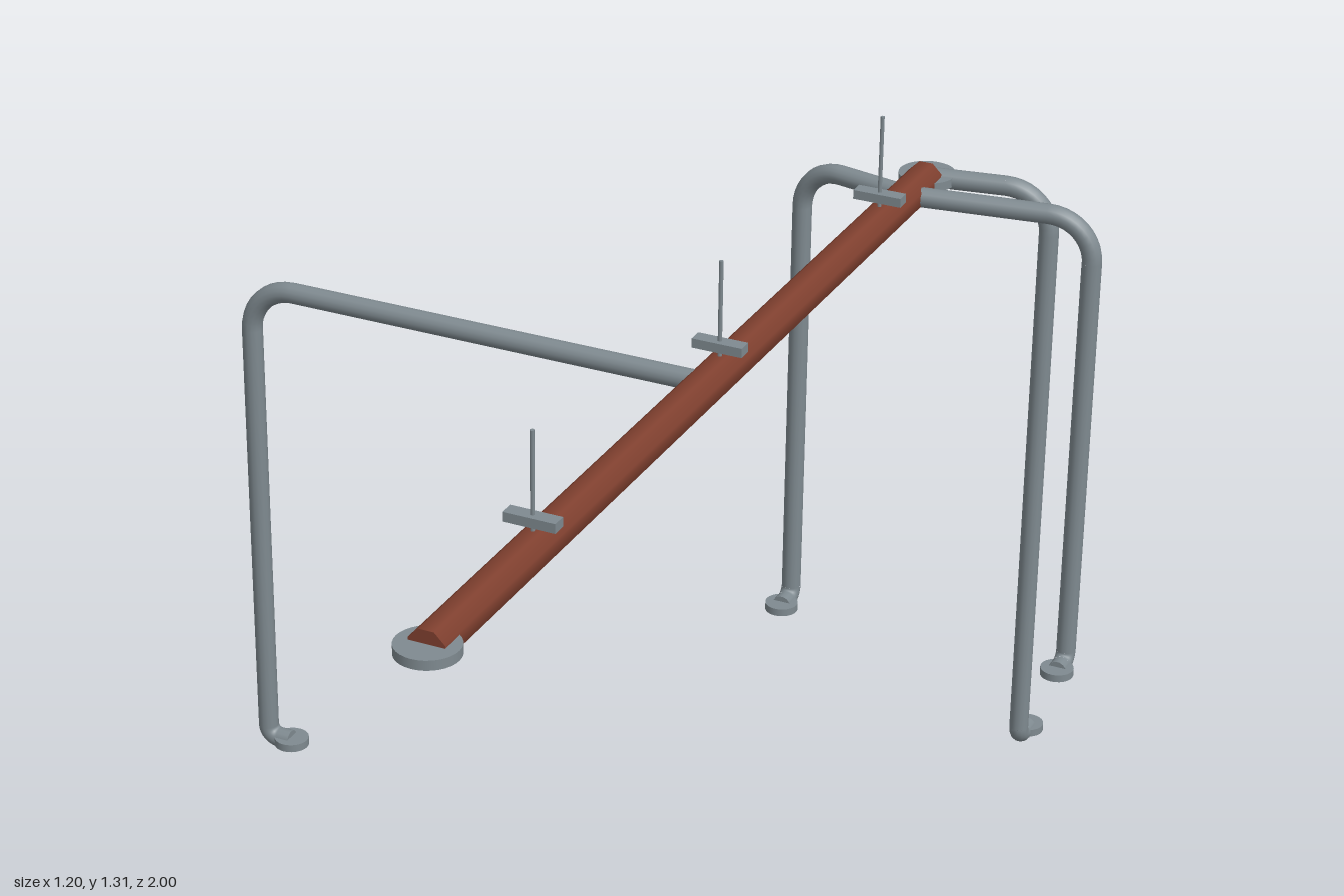
import * as THREE from 'three';
import { mergeGeometries } from 'three/addons/utils/BufferGeometryUtils.js';

const steel = new THREE.MeshStandardMaterial({ name: 'greySteel', color: 0x7f8a90 });
const red = new THREE.MeshStandardMaterial({ name: 'rustRed', color: 0x80402f });

const BEAM_X = 0.246, BEAM_Y = 1.117, PIPE_R = 0.0175;
const V = (x, y, z) => new THREE.Vector3(x, y, z);

// Pipe through corner points; each inner corner is rounded by its radius
function pipeGeometry(points, radii, r) {
  const parts = [];
  let from = points[0];
  for (let i = 1; i < points.length; i++) {
    const corner = points[i];
    if (i === points.length - 1) {
      parts.push(new THREE.TubeGeometry(new THREE.LineCurve3(from, corner), 1, r, 14));
      break;
    }
    const bend = radii[i - 1];
    const back = points[i - 1].clone().sub(corner).normalize();
    const ahead = points[i + 1].clone().sub(corner).normalize();
    const a = corner.clone().addScaledVector(back, bend);
    const b = corner.clone().addScaledVector(ahead, bend);
    const k = bend * 0.448;
    const arc = new THREE.CubicBezierCurve3(
      a, corner.clone().addScaledVector(back, k), corner.clone().addScaledVector(ahead, k), b);
    parts.push(new THREE.TubeGeometry(new THREE.LineCurve3(from, a), 1, r, 14));
    parts.push(new THREE.TubeGeometry(arc, 10, r, 14));
    from = b;
  }
  return mergeGeometries(parts);
}

function add(parent, name, geometry, material, x = 0, y = 0, z = 0) {
  const mesh = new THREE.Mesh(geometry, material);
  mesh.name = name;
  mesh.position.set(x, y, z);
  parent.add(mesh);
  return mesh;
}

// Bent support: arm from the beam, bend down, leg, elbow and round foot plate
function addSupport(parent, name, startZ, legX, legZ, footY, toeX, toeZ) {
  const group = new THREE.Group();
  group.name = name;
  const toe = V(legX + toeX, footY, legZ + toeZ);
  const points = [V(BEAM_X, BEAM_Y, startZ), V(legX, BEAM_Y, legZ), V(legX, footY, legZ), toe];
  add(group, 'bentPipe', pipeGeometry(points, [0.08, 0.022], PIPE_R), steel);
  // closed end of the pipe at the foot
  const cap = add(group, 'pipeEnd', new THREE.CircleGeometry(PIPE_R, 14), steel, toe.x, toe.y, toe.z);
  cap.rotation.y = Math.atan2(toeX, toeZ);
  add(group, 'footPlate', new THREE.CylinderGeometry(0.03, 0.03, 0.014, 24), steel, toe.x, toe.y, toe.z);
  parent.add(group);
}

export function createModel() {
  const model = new THREE.Group();
  model.name = 'pipeFrame';

  // Long octagonal main beam
  const beam = new THREE.CylinderGeometry(0.032, 0.032, 1.834, 8);
  beam.rotateY(Math.PI / 8);
  beam.rotateX(Math.PI / 2);
  add(model, 'mainBeam', beam, red, BEAM_X, BEAM_Y, 0.037);

  // Round flanges at both beam ends
  for (const [name, z] of [['frontFlange', 0.95], ['rearFlange', -0.888]]) {
    add(model, name, new THREE.CylinderGeometry(0.05, 0.05, 0.016, 32), steel, BEAM_X, BEAM_Y, z);
  }

  // Hanger plates with thin rods
  for (const z of [0.626, -0.022, -0.67]) {
    const hanger = new THREE.Group();
    hanger.name = 'hanger';
    hanger.position.set(BEAM_X, 0, z);
    add(hanger, 'hangerPlate', new THREE.BoxGeometry(0.086, 0.016, 0.025), steel, 0, 1.165, 0);
    add(hanger, 'hangerRod', new THREE.CylinderGeometry(0.0037, 0.0037, 0.165, 8), steel, 0, 1.2275, 0);
    model.add(hanger);
  }

  // Side support, two rear supports and the long rear leg
  addSupport(model, 'sideSupport', 0.02, -0.583, 0.02, 0.253, 0.045, 0);
  addSupport(model, 'rearRightSupport', -0.797, 0.031, -0.843, 0.253, 0, 0.043);
  addSupport(model, 'rearLeftSupport', -0.797, 0.571, -0.843, 0.253, 0, 0.043);
  addSupport(model, 'longRearSupport', -0.888, 0.462, -0.925, 0.0185, 0, -0.045);

  return model;
}
